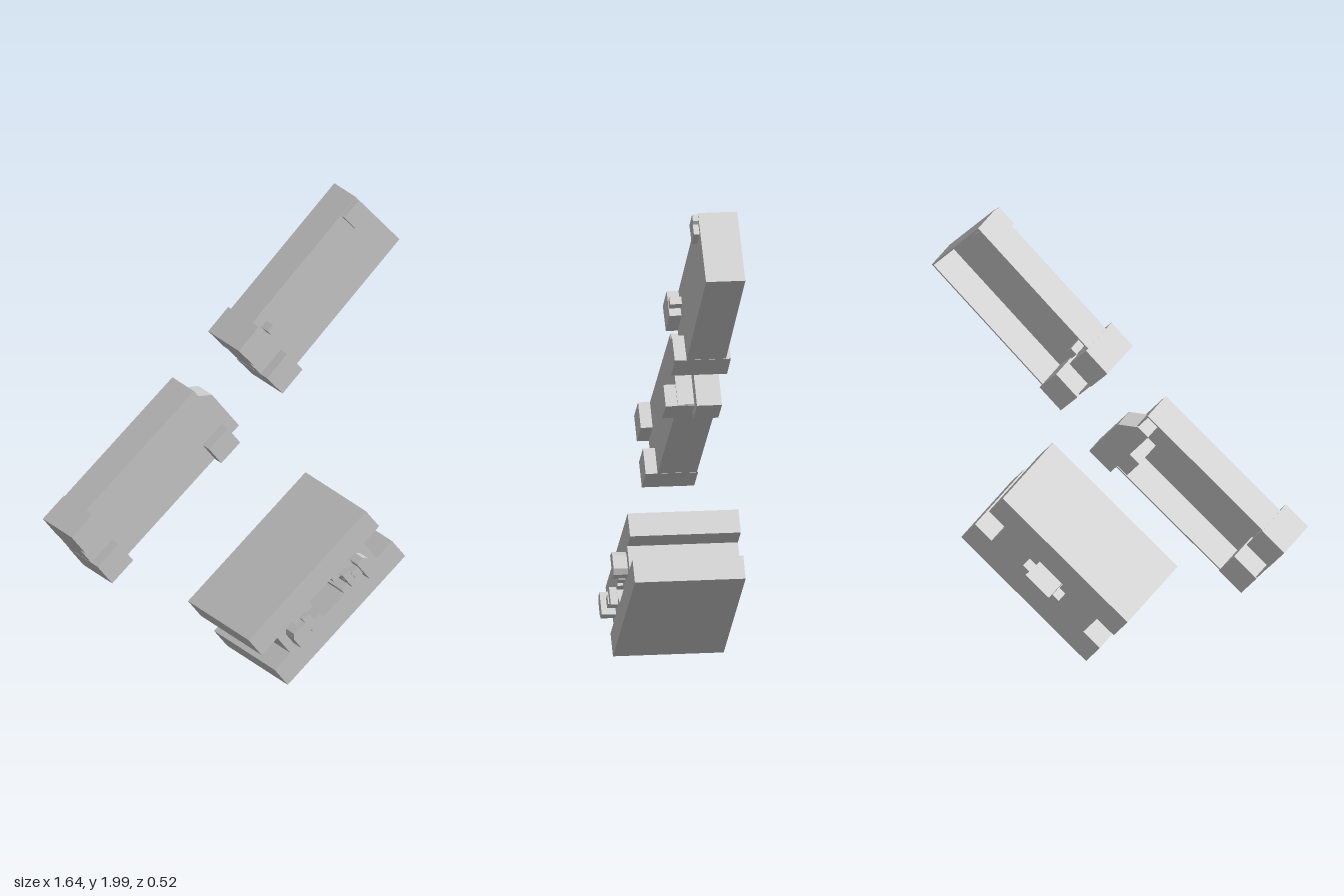
import * as THREE from 'three';

const material = new THREE.MeshStandardMaterial({ color: 0xcccccc, flatShading: true });

// Box given by its ranges along, across and in depth
function box(parent, name, u0, u1, v0, v1, z0, z1) {
  const mesh = new THREE.Mesh(new THREE.BoxGeometry(u1 - u0, v1 - v0, z1 - z0), material);
  mesh.position.set((u0 + u1) / 2, (v0 + v1) / 2, (z0 + z1) / 2);
  mesh.name = name;
  parent.add(mesh);
}

// Outline extruded between two depths
function prism(parent, name, points, z0, z1, hole) {
  const shape = new THREE.Shape(points.map(([x, y]) => new THREE.Vector2(x, y)));
  if (hole) shape.holes.push(new THREE.Path(hole.map(([x, y]) => new THREE.Vector2(x, y))));
  const geometry = new THREE.ExtrudeGeometry(shape, { depth: z1 - z0, bevelEnabled: false });
  geometry.translate(0, 0, z0);
  const mesh = new THREE.Mesh(geometry, material);
  mesh.name = name;
  parent.add(mesh);
}

// Group tilted in the front plane
function tilted(parent, name, x, y, degrees) {
  const group = new THREE.Group();
  group.name = name;
  group.position.set(x, y, 0);
  group.rotation.z = THREE.MathUtils.degToRad(degrees);
  parent.add(group);
  return group;
}

// Thin-walled cover, open at the back
function cover(group, L, W, back, front) {
  const t = 0.006;
  box(group, 'coverFace', -L, L, -W, W, front - t, front);
  for (const s of [-1, 1]) {
    const v = s * (W - t / 2), u = s * (L - t / 2);
    box(group, 'coverSide', -L, L, v - t / 2, v + t / 2, back, front - t);
    box(group, 'coverEnd', u - t / 2, u + t / 2, -W + t, W - t, back, front - t);
  }
}

// Pair of corner blocks at the lower end
function cornerBlocks(group, L, W, back, front) {
  for (const s of [-1, 1]) {
    const a = s * W, b = s * (W - 0.115);
    box(group, 'cornerBlock', -L - 0.001, -L + 0.13, Math.min(a, b) - 0.001, Math.max(a, b) + 0.001, back, front);
  }
}

export function createModel() {
  const model = new THREE.Group();

  // Upper cover with corner blocks, peg and end tab
  const upper = tilted(model, 'upperCover', 0.408, 1.61, 41.2);
  cover(upper, 0.404, 0.163, -0.235, -0.07);
  cornerBlocks(upper, 0.404, 0.163, -0.255, -0.02);
  box(upper, 'peg', -0.262, -0.227, 0.076, 0.111, -0.255, -0.02);
  prism(upper, 'endTab', [[0.305, 0.072], [0.385, 0.072], [0.385, 0.12], [0.398, 0.13],
    [0.398, 0.16], [0.305, 0.16]], -0.2, -0.046);

  // Middle cover with corner blocks and coupling
  const middle = tilted(model, 'middleCover', -0.405, 0.932, 37.7);
  cover(middle, 0.401, 0.163, -0.245, -0.08);
  cornerBlocks(middle, 0.401, 0.163, -0.25, -0.03);
  box(middle, 'couplingBlock', 0.278, 0.395, -0.165, -0.066, -0.24, -0.03);
  prism(middle, 'couplingBar', [[0.335, -0.197], [0.46, -0.197], [0.46, 0.02],
    [0.395, 0.088], [0.335, 0.088]], -0.255, -0.15);

  // Lower body: notched ends and a stepped opening
  const lower = tilted(model, 'lowerBody', 0.285, 0.355, 37.5);
  const L = 0.365, W = 0.158, N = 0.268, n = 0.053;
  prism(lower, 'body', [[-L, -W], [L, -W], [L, -n], [N, -n], [N, n], [L, n], [L, W], [-L, W],
    [-L, n], [-N, n], [-N, -n], [-L, -n]], -0.26, 0.205,
  [[-0.068, -0.054], [-0.068, -0.027], [-0.105, -0.027], [-0.105, 0.027], [-0.068, 0.027], [-0.068, 0.054],
    [0.068, 0.054], [0.068, 0.027], [0.105, 0.027], [0.105, -0.027], [0.068, -0.027], [0.068, -0.054]]);

  // Two facing latches
  for (const s of [-1, 1]) {
    const latch = new THREE.Group();
    latch.name = 'latch';
    latch.rotation.z = s < 0 ? Math.PI : 0;
    lower.add(latch);
    prism(latch, 'latchHead', [[0.178, -0.052], [0.215, -0.052], [0.23, -0.03], [0.23, 0.03],
      [0.215, 0.052], [0.178, 0.052]], 0.2, 0.265);
    box(latch, 'latchNeck', 0.14, 0.18, -0.022, 0.022, 0.2, 0.24);
    box(latch, 'latchFoot', 0.106, 0.142, -0.04, 0.04, 0.2, 0.235);
  }
  return model;
}
